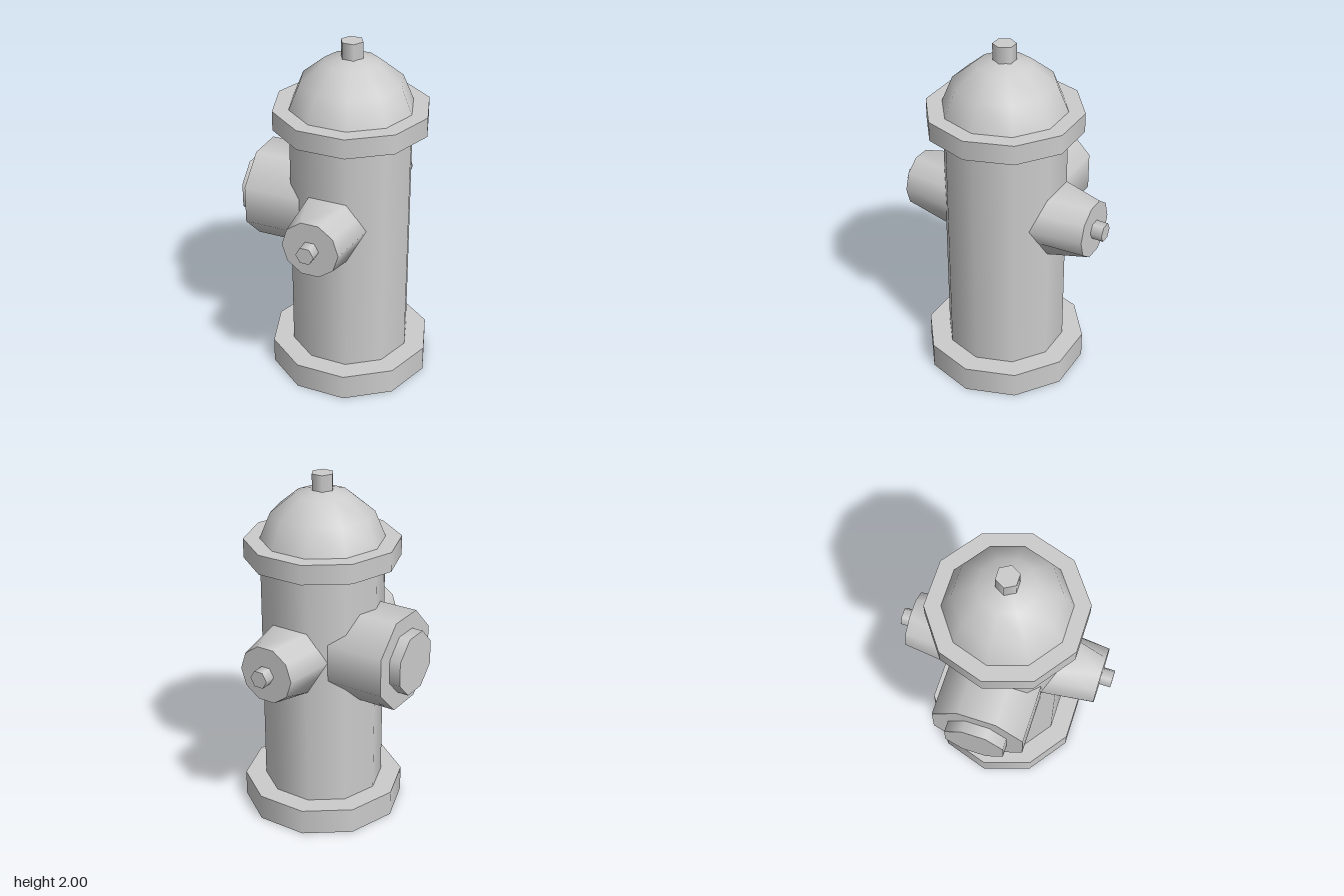
import * as THREE from 'three';

const material = new THREE.MeshStandardMaterial({ color: 0xcccccc });
const AXIS_X = 0.065; // the barrel sits off centre, balancing the large outlet
const OUTLET_Y = 1.027;
const BODY_R = 0.345;

function add(parent, name, geometry, x = 0, y = 0, z = 0) {
  const mesh = new THREE.Mesh(geometry, material);
  mesh.name = name;
  mesh.position.set(x, y, z);
  parent.add(mesh);
  return mesh;
}

// Upright prism from y0 to y1 with a corner on +x
function prism(radius, y0, y1, sides) {
  return new THREE.CylinderGeometry(radius, radius, y1 - y0, sides, 1, false, Math.PI / 2)
    .translate(0, (y0 + y1) / 2, 0);
}

// Ten-sided nozzle pointing to +z whose root widens into a hexagon on the barrel
function nozzleGeometry() {
  const geo = new THREE.CylinderGeometry(0.163, 0.2, 0.3, 10, 1, false, Math.PI / 2)
    .rotateX(Math.PI / 2).translate(0, 0, 0.406);
  const p = geo.attributes.position;
  const apothem = BODY_R * Math.cos(Math.PI / 10);
  const halfFace = BODY_R * Math.sin(Math.PI / 10);
  for (let i = 0; i < p.count; i++) {
    const x = p.getX(i), y = p.getY(i);
    if (p.getZ(i) > 0.4 || Math.hypot(x, y) < 0.01) continue;
    const level = Math.round(Math.abs(y) / 0.1); // 0 side corner, 1 edge middle, 2 top corner
    const nx = Math.sign(x) * (0.2 - 0.045 * level);
    const ny = Math.sign(y) * 0.089 * level;
    const drop = Math.max(0, Math.abs(nx) - halfFace) * Math.tan(Math.PI / 5);
    p.setXYZ(i, nx, ny, apothem - drop - 0.005);
  }
  return geo;
}

// Eight-sided drum along x, flat on top
function drum(halfWidth, x0, x1) {
  const r = halfWidth / Math.cos(Math.PI / 8);
  return new THREE.CylinderGeometry(r, r, x1 - x0, 8, 1, false, Math.PI / 8)
    .rotateZ(Math.PI / 2).translate((x0 + x1) / 2, 0, 0);
}

export function createModel() {
  const hydrant = new THREE.Group();
  hydrant.name = 'hydrant';

  // Barrel, foot and flange
  add(hydrant, 'base', prism(0.465, 0, 0.15, 10), AXIS_X);
  add(hydrant, 'barrel', prism(BODY_R, 0.14, 1.54, 10), AXIS_X);
  add(hydrant, 'flange', prism(0.435, 1.525, 1.635, 10), AXIS_X);

  // Faceted dome with smooth shading
  const profile = [[BODY_R, 1.635], [0.285, 1.78], [0.155, 1.885], [0.04, 1.914], [0, 1.915]]
    .map(([r, y]) => new THREE.Vector2(r, y));
  add(hydrant, 'dome', new THREE.LatheGeometry(profile, 10, Math.PI / 2), AXIS_X);
  add(hydrant, 'topNut', prism(0.064, 1.88, 2, 6), AXIS_X);

  // Matching nozzles at front and back
  for (const [name, turn] of [['frontNozzle', 0], ['backNozzle', Math.PI]]) {
    const nozzle = new THREE.Group();
    nozzle.name = name;
    nozzle.position.set(AXIS_X, OUTLET_Y, 0);
    nozzle.rotation.y = turn;
    add(nozzle, 'nozzleBody', nozzleGeometry());
    add(nozzle, 'nozzleNut', prism(0.052, 0.54, 0.622, 6).rotateX(Math.PI / 2));
    hydrant.add(nozzle);
  }

  // Large outlet on the right side
  add(hydrant, 'largeOutlet', drum(0.26, -0.47, -0.08), 0, OUTLET_Y);
  add(hydrant, 'largeOutletCap', drum(0.168, -0.535, -0.46), 0, OUTLET_Y);

  return hydrant;
}
